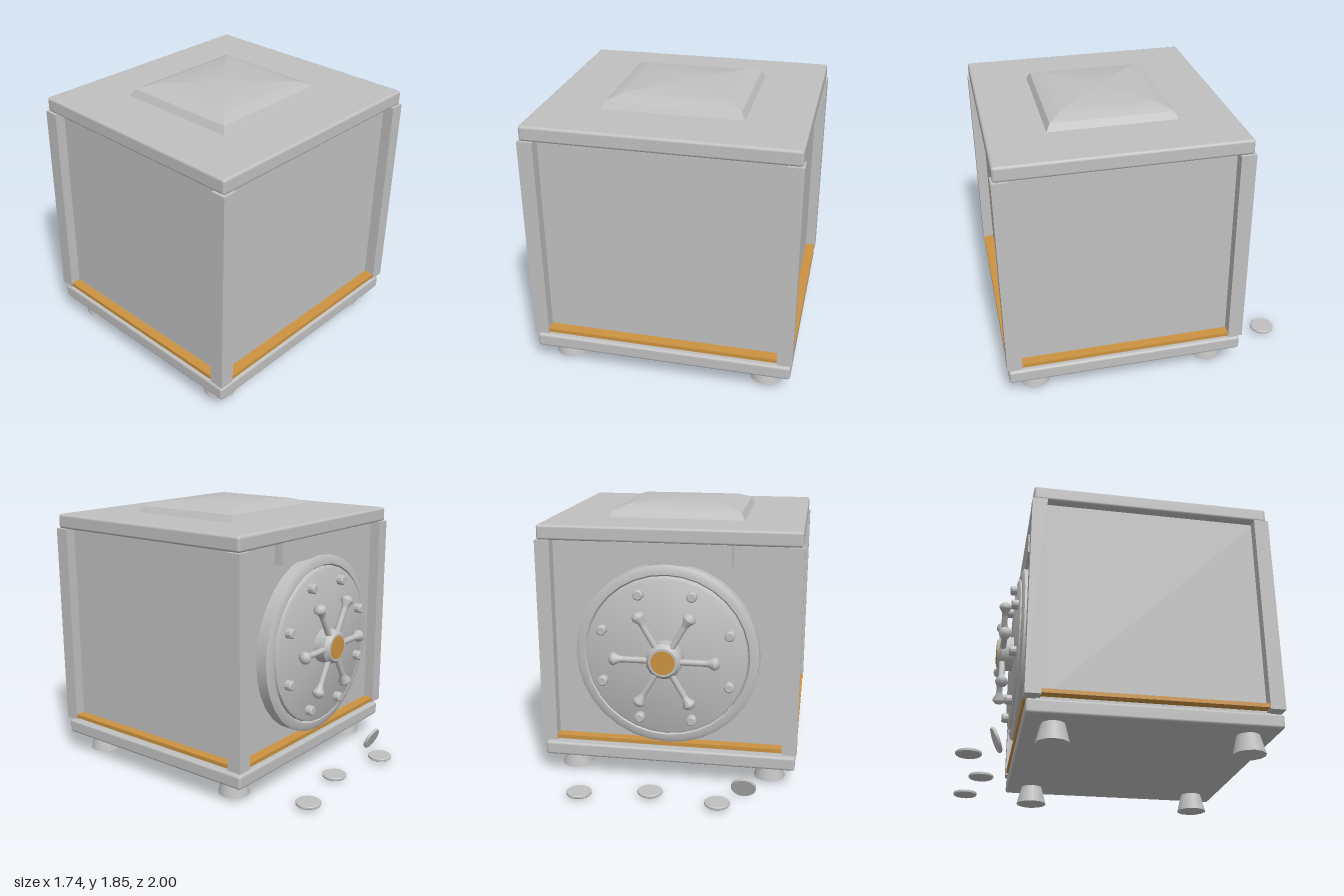
import * as THREE from 'three';
import { toCreasedNormals } from 'three/addons/utils/BufferGeometryUtils.js';
import { RoundedBoxGeometry } from 'three/addons/geometries/RoundedBoxGeometry.js';

export function createModel() {
  const steel = new THREE.MeshStandardMaterial({ color: 0xc0c0c0 });
  steel.name = 'steel';
  const gold = new THREE.MeshStandardMaterial({ color: 0xcb9341 });
  gold.name = 'gold';

  const model = new THREE.Group();
  model.name = 'safe';
  const CZ = 0.19; // centre of the cabinet in z

  const add = (parent, name, geo, mat, x = 0, y = 0, z = 0) => {
    const m = new THREE.Mesh(geo, mat);
    m.name = name;
    m.position.set(x, y, z);
    parent.add(m);
    return m;
  };
  const box = (name, mat, w, y0, y1, d, x, z) =>
    add(model, name, new THREE.BoxGeometry(w, y1 - y0, d), mat, x, (y0 + y1) / 2, z);
  const slab = (name, w, y0, y1, d) =>
    add(model, name, new RoundedBoxGeometry(w, y1 - y0, d, 2, 0.018), steel, 0, (y0 + y1) / 2, CZ);
  const lathe = (pts, seg, start = 0) =>
    new THREE.LatheGeometry(pts.map(p => new THREE.Vector2(p[0], p[1])), seg, start);
  // lathe whose axis points along +z
  const turned = (pts, seg) => toCreasedNormals(lathe(pts, seg).rotateX(Math.PI / 2), 0.5);

  // Cabinet
  slab('baseSlab', 1.72, 0.15, 0.245, 1.6);
  slab('roofSlab', 1.72, 1.662, 1.762, 1.6);
  box('body', steel, 1.6, 0.24, 1.67, 1.47, 0, CZ);
  box('lintel', steel, 0.84, 1.52, 1.665, 0.08, 0, -0.565);

  // Corner posts and feet
  for (const sx of [-1, 1]) {
    for (const sz of [-1, 1]) {
      box('cornerPost', steel, 0.1, 0.27, 1.662, 0.1, sx * 0.82, CZ + sz * 0.76);
      add(model, 'foot', new THREE.CylinderGeometry(0.075, 0.108, 0.13, 12), steel,
        sx * 0.685, 0.09, CZ + sz * 0.615);
    }
  }

  // Gold trim along the bottom of each side
  for (const s of [-1, 1]) {
    box('goldTrim', gold, 1.54, 0.28, 0.306, 0.08, 0, CZ + s * 0.766);
    box('goldTrim', gold, 0.08, 0.28, 0.306, 1.42, s * 0.826, CZ);
  }

  // Stepped cushion on the roof
  const q = Math.SQRT2;
  const cap = lathe([[0.463 * q, 1.76], [0.435 * q, 1.808], [0.35 * q, 1.84], [0, 1.856]], 4, Math.PI / 4);
  cap.scale(1, 1, 0.425 / 0.463);
  add(model, 'roofCushion', toCreasedNormals(cap, 0.35), steel, 0, 0, 0.185);

  // Round door on the back, built facing +z and turned around
  const door = new THREE.Group();
  door.name = 'door';
  door.position.set(0, 0.92, 0);
  door.rotation.y = Math.PI;
  model.add(door);
  add(door, 'doorDisc', turned([
    [0.61, 0.53], [0.61, 0.622], [0.585, 0.636], [0.55, 0.638], [0.54, 0.625],
    [0.535, 0.645], [0.52, 0.653], [0, 0.653],
  ], 32), steel);

  // Bolts
  const bolt = turned([[0.034, 0.64], [0.034, 0.692], [0.026, 0.7], [0, 0.7]], 12);
  for (let i = 0; i < 8; i++) {
    const a = (i + 0.5) * Math.PI / 4;
    add(door, 'bolt', bolt, steel, 0.455 * Math.cos(a), 0.455 * Math.sin(a), 0);
  }

  // Hub with gold centre
  add(door, 'hub', turned([
    [0.12, 0.64], [0.12, 0.735], [0.095, 0.765], [0, 0.765],
  ], 16), steel);
  add(door, 'hubCap', turned([[0.08, 0.762], [0.08, 0.769], [0, 0.769]], 16), gold);

  // Handwheel spokes with knobs
  const rod = new THREE.CylinderGeometry(0.021, 0.021, 0.25, 10);
  const knob = toCreasedNormals(lathe([
    [0.021, 0.27], [0.025, 0.295], [0.044, 0.328], [0.042, 0.342], [0.025, 0.36], [0, 0.367],
  ], 12), 0.8);
  for (let i = 0; i < 6; i++) {
    const spoke = new THREE.Group();
    spoke.name = 'spoke';
    spoke.position.z = 0.728;
    spoke.rotation.z = Math.PI / 6 + i * Math.PI / 3;
    add(spoke, 'rod', rod, steel, 0, 0.185, 0);
    add(spoke, 'knob', knob, steel);
    door.add(spoke);
  }

  // Loose coins behind the safe
  const coin = toCreasedNormals(lathe([
    [0, -0.011], [0.078, -0.011], [0.083, -0.006], [0.083, 0.006], [0.078, 0.011], [0, 0.011],
  ], 18), 0.5);
  for (const [x, y, z] of [[-0.38, 0.039, -0.915], [0.08, 0.034, -0.82], [0.54, 0.039, -0.915]]) {
    add(model, 'coin', coin, steel, x, y, z);
  }
  const leaning = add(model, 'leaningCoin', coin, steel, -0.535, 0.083, -0.755);
  leaning.rotation.x = 1.17;

  return model;
}
